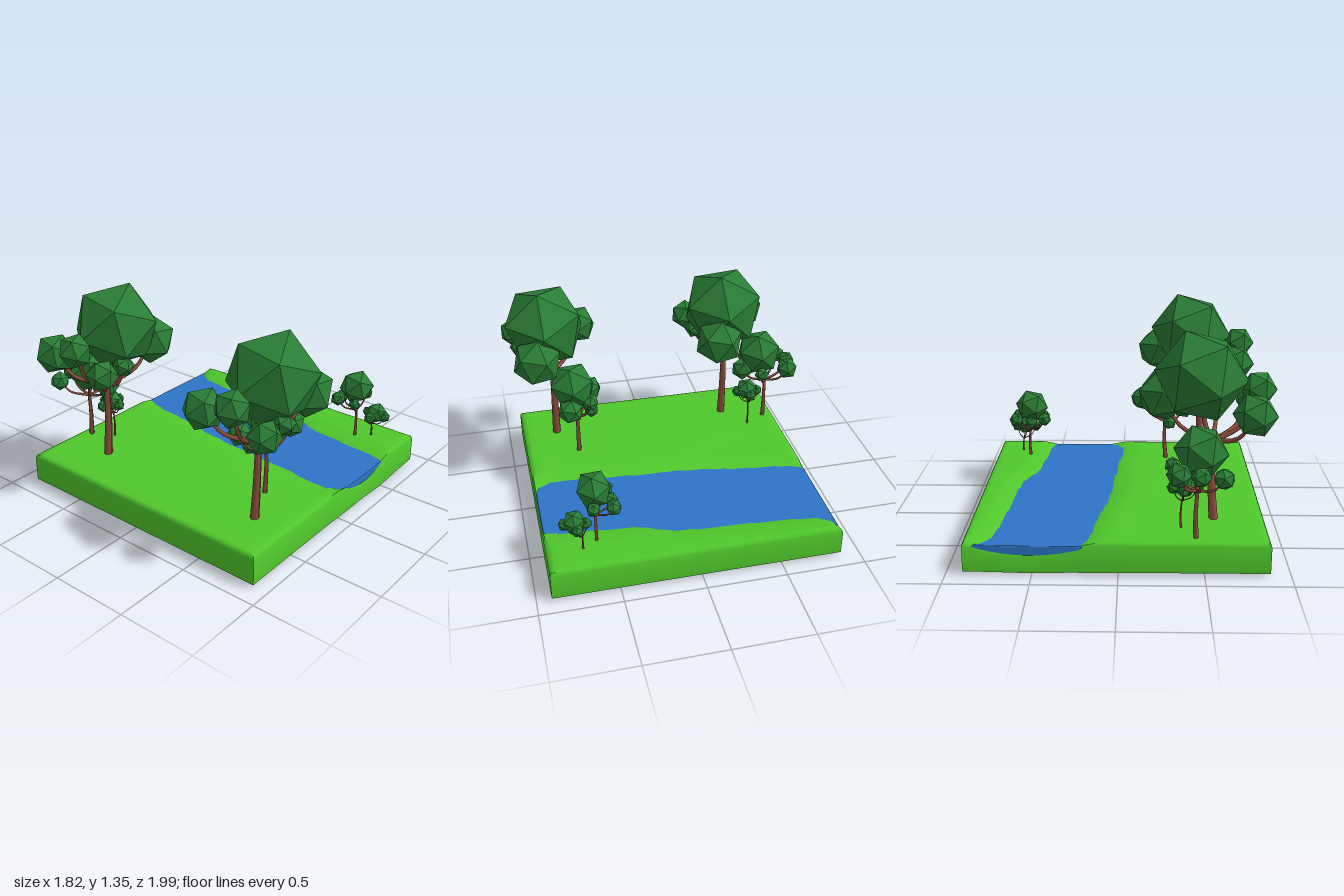
import * as THREE from 'three';
import { toCreasedNormals } from 'three/addons/utils/BufferGeometryUtils.js';

const grass = new THREE.MeshStandardMaterial({ color: 0x50c82c });
const water = new THREE.MeshStandardMaterial({ color: 0x2f74c8 });
const bark = new THREE.MeshStandardMaterial({ color: 0x8a4e3c });
const leaf = new THREE.MeshStandardMaterial({ color: 0x2a7d36, flatShading: true });

// River banks: [z, left x, right x]
const banks = [
  [-0.88, 0.22, 0.83], [-0.78, 0.17, 0.75], [-0.68, 0.15, 0.73], [-0.48, 0.13, 0.71],
  [-0.2, 0.07, 0.69], [0.1, 0.04, 0.67], [0.2, 0.04, 0.63], [0.32, 0.03, 0.58],
  [0.5, 0.02, 0.56], [0.68, -0.01, 0.54], [0.8, -0.01, 0.53], [0.87, 0.03, 0.51], [0.91, 0.09, 0.49],
];
const WATER_Y = 0.185;

function bankAt(z) {
  let i = 0;
  while (i < banks.length - 2 && z > banks[i + 1][0]) i++;
  const [a, b] = [banks[i], banks[i + 1]];
  const t = THREE.MathUtils.clamp((z - a[0]) / (b[0] - a[0]), 0, 1);
  return [THREE.MathUtils.lerp(a[1], b[1], t), THREE.MathUtils.lerp(a[2], b[2], t)];
}

// Height of the lawn: a shallow bed between the banks, a soft rise outside
function groundHeight(x, z) {
  const [l, r] = bankAt(z);
  const half = (r - l) / 2, d = Math.abs(x - (l + r) / 2);
  if (d < half) return WATER_Y - 0.042 * (1 - (d / half) ** 2);
  const rise = THREE.MathUtils.smoothstep(d - half, -0.05, 0.13);
  const ridge = 0.006 * Math.exp(-(((x + 0.15) / 0.15) ** 2)) * Math.cos(z * 5);
  return WATER_Y + 0.026 * rise + ridge * rise;
}

function makeGround() {
  const W = 1.78, H = 0.2, D = 1.79, cx = 0.01, cz = 0.015;
  const geo = new THREE.BoxGeometry(W, H, D, 72, 2, 48);
  const p = geo.attributes.position;
  for (let i = 0; i < p.count; i++) {
    const x = p.getX(i) + cx, y = p.getY(i), z = p.getZ(i) + cz;
    if (y < -0.05) {
      // gently bulging underside
      const bulge = Math.exp(-(((x - 0.5) / 0.2) ** 2)) + 0.4 * Math.exp(-(((x - 0.1) / 0.15) ** 2));
      p.setXYZ(i, x, 0.022 - 0.019 * bulge * (0.5 + 0.5 * Math.cos((z + 0.5) * 5)), z);
    } else if (y < 0.05) {
      p.setXYZ(i, x, groundHeight(x, z) - 0.025, z);
    } else {
      // rim pulled in to round the upper edge
      const inX = Math.abs(p.getX(i)) > W / 2 - 0.001 ? Math.sign(p.getX(i)) * 0.01 : 0;
      const inZ = Math.abs(p.getZ(i)) > D / 2 - 0.001 ? Math.sign(p.getZ(i)) * 0.01 : 0;
      p.setXYZ(i, x - inX, groundHeight(x, z) - (inX || inZ ? 0.006 : 0), z - inZ);
    }
  }
  const mesh = new THREE.Mesh(toCreasedNormals(geo, 0.95), grass);
  mesh.name = 'ground';
  return mesh;
}

// Water body, a little wider than the banks so the lawn trims its edge
function makeRiver() {
  const clampZ = (z) => THREE.MathUtils.clamp(z, -0.87, 0.895);
  const left = banks.map(([z, l]) => new THREE.Vector2(l - 0.005, clampZ(z)));
  const right = banks.map(([z, , r]) => new THREE.Vector2(r + 0.005, clampZ(z))).reverse();
  const geo = new THREE.ExtrudeGeometry(new THREE.Shape([...left, ...right]), {
    depth: 0.05, bevelThickness: 0.008, bevelSize: 0.008, bevelSegments: 2,
  });
  geo.rotateX(Math.PI / 2).translate(0, WATER_Y - 0.008, 0);
  const mesh = new THREE.Mesh(geo, water);
  mesh.name = 'river';
  return mesh;
}

// Tapered limb along a smooth path
function limb(name, points, r0, r1) {
  const curve = new THREE.CatmullRomCurve3(points.map((q) => new THREE.Vector3(...q)));
  const steps = 10, sides = 8;
  const geo = new THREE.TubeGeometry(curve, steps, 1, sides);
  const p = geo.attributes.position, v = new THREE.Vector3();
  for (let i = 0; i < p.count; i++) {
    const t = Math.floor(i / (sides + 1)) / steps;
    const c = curve.getPointAt(t);
    v.fromBufferAttribute(p, i).sub(c).multiplyScalar(THREE.MathUtils.lerp(r0, r1, t)).add(c);
    p.setXYZ(i, v.x, v.y, v.z);
  }
  geo.computeVertexNormals();
  const mesh = new THREE.Mesh(geo, bark);
  mesh.name = name;
  return mesh;
}

// Tree: trunk from base to fork, a bowed branch to each leaf ball [x, y, z, radius]
function makeTree(name, base, fork, r, balls) {
  const tree = new THREE.Group();
  tree.name = name;
  const mid = base.map((b, i) => (b + fork[i]) / 2 + (i === 0 ? 0.006 : 0));
  tree.add(limb('trunk', [base, mid, fork], r, r * 0.65));
  balls.forEach(([x, y, z, size], i) => {
    const bend = [
      THREE.MathUtils.lerp(fork[0], x, 0.65),
      THREE.MathUtils.lerp(fork[1], y, 0.3),
      THREE.MathUtils.lerp(fork[2], z, 0.65),
    ];
    tree.add(limb('branch', [fork, bend, [x, y, z]], r * 0.6, r * 0.3));
    const ball = new THREE.Mesh(new THREE.IcosahedronGeometry(size, 0), leaf);
    ball.name = 'foliage';
    ball.position.set(x, y, z);
    ball.rotation.set(0.35 + i * 1.3, 0.5 + i * 0.9, 0.15 + i * 0.7);
    tree.add(ball);
  });
  return tree;
}

export function createModel() {
  const model = new THREE.Group();
  model.name = 'riverside';
  model.add(makeGround(), makeRiver());

  // Two matching tall trees
  for (const z of [-0.52, 0.68]) {
    const tall = makeTree('tallTree', [-0.57, 0.19, 0], [-0.545, 0.7, 0], 0.028, [
      [-0.48, 1.09, 0.04, 0.28],
      [-0.26, 0.95, 0.12, 0.16],
      [-0.77, 0.93, -0.21, 0.13],
      [-0.81, 1.02, 0.02, 0.11],
      [-0.79, 0.91, 0.22, 0.1],
      [-0.59, 0.9, 0.2, 0.07],
    ]);
    tall.position.z = z;
    model.add(tall);
  }

  // Medium trees
  model.add(
    makeTree('mediumTreeBack', [-0.45, 0.19, -0.8], [-0.45, 0.5, -0.8], 0.016, [
      [-0.47, 0.72, -0.75, 0.16],
      [-0.59, 0.62, -0.92, 0.065],
      [-0.34, 0.64, -0.92, 0.075],
      [-0.46, 0.64, -0.95, 0.06],
      [-0.44, 0.62, -0.63, 0.08],
      [-0.31, 0.63, -0.73, 0.05],
    ]),
    makeTree('mediumTreeFront', [-0.31, 0.19, 0.56], [-0.3, 0.48, 0.56], 0.016, [
      [-0.3, 0.72, 0.58, 0.16],
      [-0.14, 0.63, 0.62, 0.085],
      [-0.42, 0.62, 0.45, 0.08],
      [-0.22, 0.63, 0.48, 0.06],
      [-0.33, 0.5, 0.46, 0.05],
    ]),
    makeTree('mediumTreeBank', [0.66, 0.18, 0.6], [0.66, 0.4, 0.6], 0.011, [
      [0.645, 0.575, 0.6, 0.115],
      [0.55, 0.5, 0.52, 0.05],
      [0.745, 0.5, 0.5, 0.05],
      [0.74, 0.5, 0.62, 0.045],
      [0.56, 0.49, 0.64, 0.04],
      [0.64, 0.48, 0.5, 0.045],
    ]),
  );

  // Saplings
  const saplings = [
    { base: [-0.37, 0.19, -0.66], lean: [-0.02, 0.01], top: 0.48, s: 1 },
    { base: [0.72, 0.18, 0.69], lean: [-0.02, 0.04], top: 0.4, s: 0.95 },
  ];
  for (const { base: [x, y, z], lean, top, s } of saplings) {
    const bx = x + lean[0], bz = z + lean[1];
    model.add(makeTree('sapling', [x, y, z], [x, top - 0.1, z], 0.007, [
      [bx, top, bz, 0.075 * s],
      [bx - 0.07 * s, top - 0.015, bz - 0.01, 0.042 * s],
      [bx + 0.07 * s, top - 0.015, bz - 0.01, 0.042 * s],
      [bx, top - 0.01, bz + 0.065 * s, 0.04 * s],
      [bx + 0.01, top - 0.015, bz - 0.07 * s, 0.04 * s],
    ]));
  }
  return model;
}
